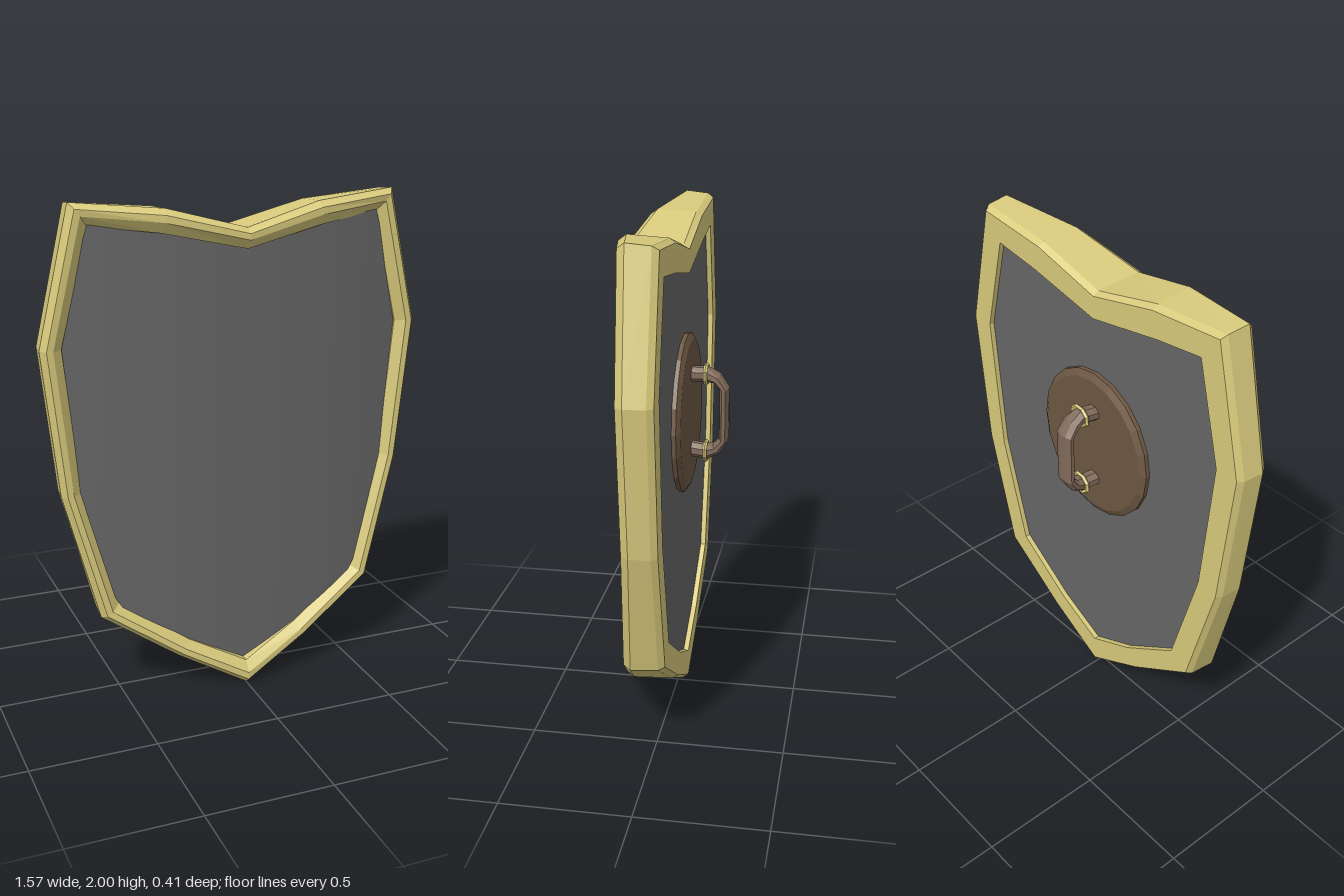
import * as THREE from 'three';

const paint = (color, flatShading = true) =>
  new THREE.MeshStandardMaterial({ color, flatShading });
const GOLD = 0xd8ca7c, STEEL = 0x666666, LEATHER = 0x6e5843, GRIP = 0x806a5a;

// Half outline, top centre to bottom tip: outer x, y, inner x, y, front z
const HALF = [
  [0, 1.89, 0, 1.81, 0.205],
  [0.31, 1.97, 0.33, 1.88, 0.165],
  [0.66, 2.0, 0.59, 1.91, 0.10],
  [0.785, 1.46, 0.70, 1.46, 0.09],
  [0.725, 0.88, 0.645, 0.89, 0.09],
  [0.59, 0.36, 0.515, 0.41, 0.115],
  [0.28, 0.155, 0.235, 0.22, 0.165],
  [0, 0.0, 0, 0.10, 0.205],
];

// Point on the outline, t = 0 at the outer edge and 1 at the inner edge
const inset = ([ox, oy, ix, iy], t) => [ox + (ix - ox) * t, oy + (iy - oy) * t];

// Skin over a row of closed cross-sections, optionally joined end to start
function loft(rings, closed) {
  const n = rings[0].length, index = [];
  const last = closed ? rings.length : rings.length - 1;
  for (let i = 0; i < last; i++) {
    for (let j = 0; j < n; j++) {
      const k = (i + 1) % rings.length, m = (j + 1) % n;
      const a = i * n + j, b = i * n + m, c = k * n + m, d = k * n + j;
      index.push(a, b, c, a, c, d);
    }
  }
  const geo = new THREE.BufferGeometry();
  geo.setAttribute('position', new THREE.Float32BufferAttribute(rings.flat(2), 3));
  geo.setIndex(index);
  geo.computeVertexNormals();
  return geo;
}

// Bevelled rim
function frameGeometry() {
  const mirrored = HALF.slice(1, -1).reverse().map(([a, b, c, d, z]) => [-a, b, -c, d, z]);
  const rings = [...HALF, ...mirrored].map((p) => {
    const z = p[4];
    const section = [
      [0, z - 0.03], [0.25, z], [0.55, z], [1, z - 0.03], [1, z - 0.1],
      [1.45, -0.01], [1.45, -0.046], [0.28, -0.046], [0.1, -0.022],
    ];
    return section.map(([t, sz]) => [...inset(p, t), sz]);
  });
  return loft(rings, true);
}

// Height of a polyline at x
function heightAt(line, x) {
  for (let i = 1; i < line.length; i++) {
    const [x0, y0] = line[i - 1], [x1, y1] = line[i];
    if (x <= x1 + 1e-6) return y0 + (y1 - y0) * (x - x0) / (x1 - x0);
  }
  return line[line.length - 1][1];
}

// Sheet filling the outline at inset t, with depth given by x
function sheetGeometry(t, depth) {
  const line = HALF.map((p) => inset(p, t));
  const top = line.slice(0, 4), bottom = line.slice(3).reverse();
  const geo = new THREE.PlaneGeometry(2, 1, 48, 1);
  const pos = geo.attributes.position;
  for (let i = 0; i < pos.count; i++) {
    const x = pos.getX(i) * line[3][0];
    const y = heightAt(pos.getY(i) > 0 ? top : bottom, Math.abs(x));
    pos.setXYZ(i, x, y, depth(x));
  }
  geo.computeVertexNormals();
  return geo;
}

// Bent handle with an oval eight-sided section
function handleGeometry() {
  const half = [
    [-0.015, 0.155, -0.03, 0.032, 0.03], [0, 0.16, -0.12, 0.034, 0.03],
    [0, 0.145, -0.158, 0.04, 0.022], [0, 0.105, -0.188, 0.042, 0.018],
  ];
  const path = [...half, ...half.slice().reverse().map(([x, y, ...r]) => [x, -y, ...r])];
  const rings = path.map(([x, y, z, rx, rn], i) => {
    const a = path[Math.max(i - 1, 0)], b = path[Math.min(i + 1, path.length - 1)];
    const len = Math.hypot(b[1] - a[1], b[2] - a[2]);
    const ny = -(b[2] - a[2]) / len, nz = (b[1] - a[1]) / len;
    return Array.from({ length: 8 }, (_, j) => {
      const q = (j + 0.5) * Math.PI / 4, c = Math.cos(q) * rn * 1.08;
      return [x + Math.sin(q) * rx * 1.08, 1.215 + y + c * ny, z + c * nz];
    });
  });
  return loft(rings, false);
}

export function createModel() {
  const group = new THREE.Group();
  const add = (name, geo, material) => {
    const mesh = new THREE.Mesh(geo, material);
    mesh.name = name;
    group.add(mesh);
    return mesh;
  };

  add('rim', frameGeometry(), paint(GOLD));

  // Bowed front panel and flat back panel
  const steel = paint(STEEL, false);
  steel.side = THREE.DoubleSide;
  add('frontPanel', sheetGeometry(0.9, (x) => 0.14 - 0.18 * x * x), steel);
  add('backPanel', sheetGeometry(1.3, () => -0.025), steel);

  // Bevelled pad behind the handle
  const profile = [[0, 0], [0.322, 0], [0.322, 0.022], [0.295, 0.037], [0, 0.037]]
    .map(([r, y]) => new THREE.Vector2(r, y));
  const pad = add('handPad', new THREE.LatheGeometry(profile, 20), paint(LEATHER));
  pad.rotation.x = -Math.PI / 2;
  pad.scale.x = 0.94;
  pad.position.set(0, 1.213, -0.02);

  add('handle', handleGeometry(), paint(GRIP));

  // Collars on the two handle posts
  for (const side of [1, -1]) {
    const collar = add('handleCollar', new THREE.TorusGeometry(0.038, 0.009, 5, 8), paint(GOLD));
    collar.scale.x = 1.15;
    collar.rotation.z = Math.PI / 8;
    collar.position.set(0, 1.215 + side * 0.16, -0.115);
  }
  return group;
}
